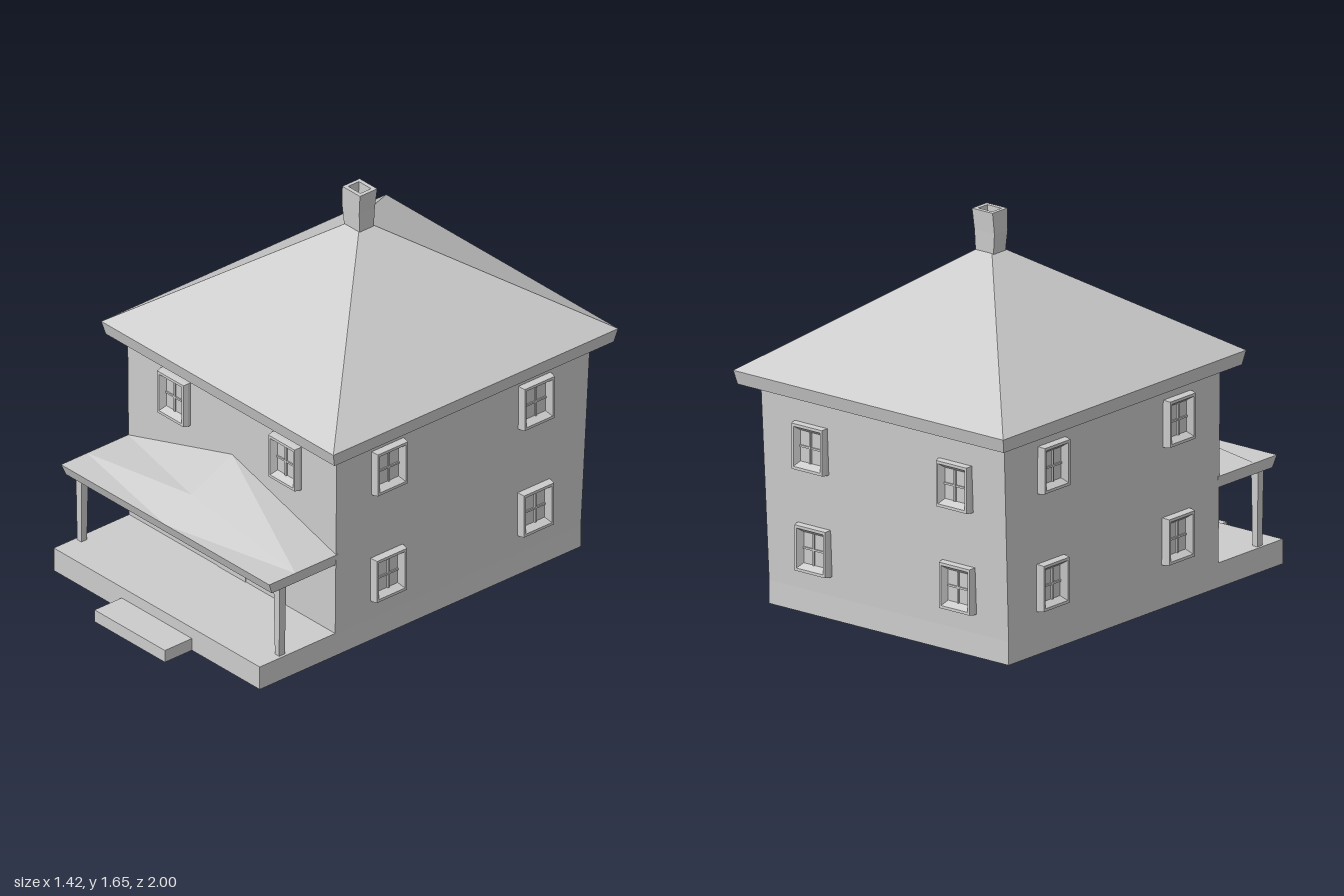
import * as THREE from 'three';

const plaster = new THREE.MeshStandardMaterial({ color: 0xcccccc });
plaster.name = 'plain grey';

// Faceted geometry from a list of triangles
function facets(points, tris) {
  const g = new THREE.BufferGeometry();
  g.setAttribute('position', new THREE.Float32BufferAttribute(tris.flatMap((i) => points[i]), 3));
  g.computeVertexNormals();
  return g;
}

// Stack of rectangles [y, x0, x1, z0, z1], joined by flat sides and capped at both ends
function loft(rings) {
  const points = [], tris = [];
  for (const [y, x0, x1, z0, z1] of rings) {
    points.push([x0, y, z1], [x1, y, z1], [x1, y, z0], [x0, y, z0]);
  }
  for (let r = 0; r < rings.length - 1; r++) {
    for (let i = 0; i < 4; i++) {
      const a = r * 4 + i, b = r * 4 + (i + 1) % 4;
      tris.push(a, b, b + 4, a, b + 4, a + 4);
    }
  }
  const t = (rings.length - 1) * 4;
  tris.push(0, 2, 1, 0, 3, 2, t, t + 1, t + 2, t, t + 2, t + 3);
  return facets(points, tris);
}

function add(parent, name, geometry) {
  const mesh = new THREE.Mesh(geometry, plaster);
  mesh.name = name;
  parent.add(mesh);
  return mesh;
}

function box(parent, name, x0, x1, y0, y1, z0, z1) {
  const g = new THREE.BoxGeometry(x1 - x0, y1 - y0, z1 - z0);
  g.translate((x0 + x1) / 2, (y0 + y1) / 2, (z0 + z1) / 2);
  return add(parent, name, g);
}

// Rectangle ring centred on the axis
const ring = (y, hx, hz) => [y, -hx, hx, -hz, hz];

// Window facing +z: bevelled casing, recessed pane and crossed bars
function makeWindow() {
  const w = new THREE.Group();
  w.name = 'window';
  const casing = loft([
    ring(-0.01, 0.085, 0.1), ring(0.012, 0.085, 0.1), ring(0.034, 0.08, 0.097),
    ring(0.034, 0.07, 0.085), ring(0.006, 0.055, 0.066),
  ]);
  casing.rotateX(Math.PI / 2);
  add(w, 'windowCasing', casing);
  box(w, 'verticalBar', -0.004, 0.004, -0.066, 0.066, 0.004, 0.013);
  box(w, 'crossBar', -0.055, 0.055, -0.004, 0.004, 0.004, 0.012);
  return w;
}

export function createModel() {
  const house = new THREE.Group();
  house.name = 'house';

  // Base, step and walls
  box(house, 'foundation', -0.63, 0.63, 0, 0.105, -0.87, 0.855);
  box(house, 'frontStep', -0.215, 0.215, 0, 0.055, 0.85, 1.0);
  add(house, 'walls', loft([
    [0.1, -0.63, 0.63, -0.87, 0.45], [0.945, -0.64, 0.64, -0.91, 0.45],
  ]));

  // Hipped main roof with its eaves
  add(house, 'mainRoof', loft([
    [0.935, -0.65, 0.65, -0.92, 0.465], [0.945, -0.7, 0.7, -0.985, 0.515],
    [1.005, -0.71, 0.71, -1.0, 0.53], [1.475, -0.045, 0.045, -0.275, -0.19],
  ]));

  // Hollow chimney, slightly bent
  add(house, 'chimney', loft([
    [1.46, -0.048, 0.045, -0.27, -0.195], [1.56, -0.057, 0.048, -0.274, -0.19],
    [1.65, -0.052, 0.056, -0.28, -0.187], [1.65, -0.036, 0.038, -0.262, -0.205],
    [1.5, -0.034, 0.034, -0.258, -0.207],
  ]));

  // Porch roof: fascia box below, creased slopes above
  const e = 0.637, y = 0.475;
  add(house, 'porchFascia', loft([
    [0.425, -0.63, 0.63, 0.44, 0.79], [y, -e, e, 0.44, 0.81],
  ]));
  const FM = 0, SL = 1, SR = 2, BL = 3, BR = 4, C = 5, P = 6;
  add(house, 'porchRoof', facets(
    [[0, y, 0.81], [-e, y, 0.67], [e, y, 0.67], [-e, y, 0.45], [e, y, 0.45],
      [0, 0.562, 0.67], [0, 0.665, 0.45]],
    [SL, FM, C, FM, SR, C, BL, SL, C, BL, C, P, C, SR, P, SR, BR, P]));

  // Porch posts
  for (const s of [-1, 1]) {
    const post = add(house, 'porchPost', loft([
      [0.1, -0.013, 0.013, -0.015, 0.015], [0.43, -0.018, 0.018, -0.018, 0.018],
    ]));
    post.position.set(s * 0.605, 0, 0.725);
  }

  // Front door
  box(house, 'door', -0.085, 0.085, 0.105, 0.39, 0.446, 0.453);
  box(house, 'doorHandle', -0.066, -0.01, 0.24, 0.26, 0.45, 0.458);

  // Windows: two on the upper front, four on each other wall
  const place = (x, yy, z, turn) => {
    const w = makeWindow();
    w.position.set(x, yy, z);
    w.rotation.y = turn;
    house.add(w);
  };
  for (const s of [-1, 1]) {
    place(s * 0.34, 0.787, 0.45, 0);
    place(s * 0.38, 0.72, -0.899, Math.PI);
    place(s * 0.38, 0.283, -0.879, Math.PI);
    for (const z of [0.177, -0.612]) {
      place(s * 0.638, 0.787, z, s * Math.PI / 2);
      place(s * 0.633, 0.286, z, s * Math.PI / 2);
    }
  }
  return house;
}
